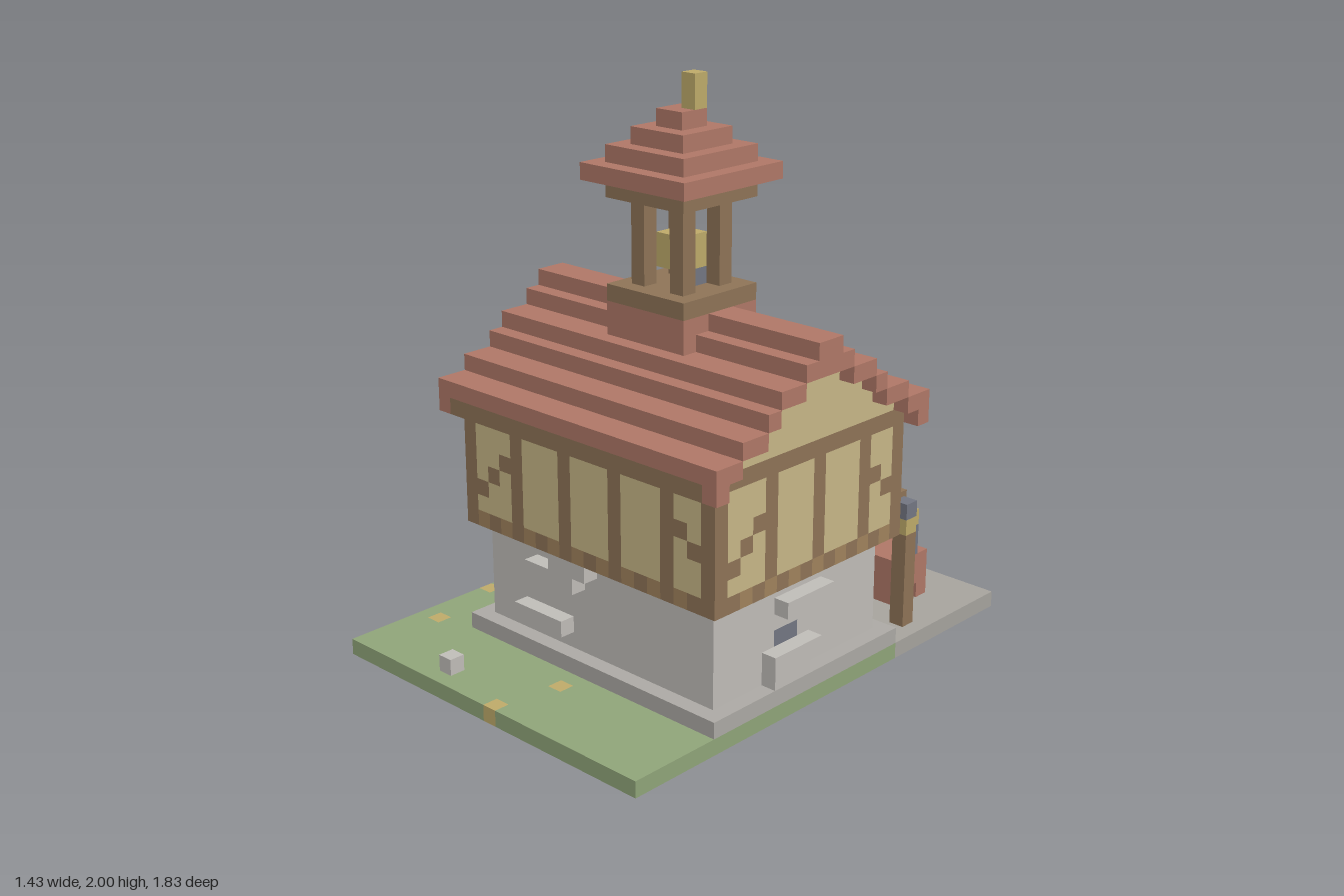
import * as THREE from 'three';

// The model is made of cubes on a grid: x 0..25, y 0..35, z 0..32
const V = 2 / 35;
const C = {
  red: 0xb37a69, tan: 0xcbba8a, brown: 0x917659, lightBrown: 0xa3855f, stone: 0xc4c1bc, stoneDark: 0xb0ada8,
  green: 0x93a87c, paving: 0xaaa7a1, blue: 0x6b96b8, slate: 0x757985, gold: 0xc2ae6c, door: 0xc07c68, wood: 0xab866a,
};

// Outer skin of a set of cubes: one quad wherever a cube meets open space, none on the ground plane
function skin(keys, cells) {
  const pos = [];
  for (const key of keys) {
    const p = key.split(',').map(Number);
    for (let a = 0; a < 3; a++) for (const s of [-1, 1]) {
      const n = [...p];
      n[a] += s;
      if (n[1] < 0 || cells.has(n.join())) continue;
      const b = (a + 1) % 3, c = (a + 2) % 3;
      const quad = [[0, 0], [1, 0], [1, 1], [0, 1]].map(([u, w]) => {
        const q = [...p];
        if (s > 0) q[a]++;
        q[b] += u;
        q[c] += w;
        return [(q[0] - 12.5) * V, q[1] * V, (q[2] - 16) * V];
      });
      for (const i of s > 0 ? [0, 1, 2, 0, 2, 3] : [0, 2, 1, 0, 3, 2]) pos.push(...quad[i]);
    }
  }
  const g = new THREE.BufferGeometry();
  g.setAttribute('position', new THREE.Float32BufferAttribute(pos, 3));
  g.computeVertexNormals();
  return g;
}

export function createModel() {
  const cells = new Map();
  // Later blocks replace earlier ones; color null carves
  const box = (part, color, x0, x1, y0, y1, z0, z1) => {
    for (let x = x0; x < x1; x++) for (let y = y0; y < y1; y++) for (let z = z0; z < z1; z++) {
      const key = [x, y, z].join();
      if (color) cells.set(key, { part, color });
      else cells.delete(key);
    }
  };
  // Block on an upper wall: u runs along the wall, a..b is the depth outward
  const onWall = (part, color, side, u0, u1, y0, y1, a = -1, b = 0) => {
    if (side === 'front') box(part, color, u0, u1, y0, y1, 26 + a, 26 + b);
    if (side === 'back') box(part, color, u0, u1, y0, y1, 10 - b, 10 - a);
    if (side === 'right') box(part, color, 24 + a, 24 + b, y0, y1, u0, u1);
    if (side === 'left') box(part, color, 4 - b, 4 - a, y0, y1, u0, u1);
  };

  // Ground
  box('lawn', 'green', 0, 24, 0, 1, 0, 32);
  box('paving', 'paving', 5, 24, 0, 1, 0, 10);
  for (const [x, z] of [[4, 2], [2, 5], [0, 10], [0, 21], [1, 26], [13, 27], [12, 31]])
    box('flowers', 'gold', x, x + 1, 0, 1, z, z + 1);
  box('looseStone', 'stone', 7, 8, 1, 2, 30, 31);

  // Stone ground floor on a plinth, with raised stones
  box('plinth', 'stoneDark', 4, 24, 1, 2, 10, 26);
  box('stoneFloor', 'stone', 5, 23, 2, 8, 11, 25);
  for (const [a, b, y] of [[9, 13, 6], [11, 14, 7], [8, 12, 3]])
    box('raisedStones', 'stone', a, b, y, y + 1, 25, 26);
  for (const [a, b, y] of [[16, 20, 6], [17, 21, 3], [18, 21, 2]])
    box('raisedStones', 'stone', 23, 24, y, y + 1, a, b);
  box('darkStone', 'slate', 22, 23, 4, 5, 18, 20);
  // Recessed doors at the back
  for (const x of [7, 16]) {
    box('doorway', null, x, x + 5, 1, 7, 10, 12);
    box('doors', 'door', x, x + 5, 1, 7, 12, 13);
  }
  // Framed window on the left wall
  box('sideWindow', 'slate', 5, 6, 3, 7, 13, 18);
  for (const z of [12, 15, 18]) box('windowFrame', 'lightBrown', 4, 5, 2, 8, z, z + 1);
  for (const y of [2, 7]) box('windowFrame', 'lightBrown', 4, 5, y, y + 1, 12, 19);
  for (const z of [13, 17]) box('windowFrame', 'lightBrown', 3, 5, 3, 7, z, z + 1);
  box('windowFrame', 'lightBrown', 3, 5, 3, 4, 14, 17);

  // Timber framed upper floor
  box('timberFrame', 'brown', 4, 24, 8, 16, 10, 26);
  const posts = { front: [4, 8, 12, 16, 20, 23], back: [4, 8, 12, 16, 20, 23],
    right: [10, 13, 17, 21, 25], left: [10, 13, 17, 21, 25] };
  for (const side in posts) {
    const p = posts[side], n = p.length;
    for (let i = 0; i < n - 1; i++) onWall('plaster', 'tan', side, p[i] + 1, p[i + 1], 9, 15);
    for (let u = p[0] + 1; u < p[n - 1]; u += 2) onWall('beamEnds', 'lightBrown', side, u, u + 1, 8, 9);
    // Stepped braces in the outer panels
    for (let i = 0; i < 3; i++) {
      const a = p[1] - 1 - i, b = p[n - 2] + 1 + i, y = 12 - i;
      if (a > p[0]) onWall('braces', 'brown', side, a, a + 1, y, y + 1);
      if (b < p[n - 1]) onWall('braces', 'brown', side, b, b + 1, y, y + 1);
    }
  }

  // Shuttered windows and flower boxes
  const shuttered = (side, a, b, shutters) => {
    onWall('panes', 'slate', side, a, b, 10, 13);
    onWall('sills', 'brown', side, a, b, 9, 10, 0, 1);
    for (const u of shutters) onWall('shutters', 'red', side, u, u + 1, 10, 13, 0, 1);
  };
  const flowerBox = (side, u) => {
    onWall('flowerBoxes', 'brown', side, u, u + 2, 9, 10, 0, 1);
    onWall('flowerBoxes', 'brown', side, u, u + 2, 10, 12, 1, 2);
    onWall('flowerBoxes', 'red', side, u, u + 2, 10, 13, 0, 1);
    onWall('plants', 'slate', side, u, u + 1, 12, 13, 1, 2);
    onWall('plants', 'slate', side, u, u + 1, 13, 14, 0, 1);
  };
  shuttered('back', 18, 22, [17, 22]);
  shuttered('back', 6, 10, [5, 10]);
  flowerBox('back', 12);
  flowerBox('back', 15);
  shuttered('left', 13, 17, [12]);
  shuttered('left', 19, 23, [23]);
  flowerBox('left', 17);
  onWall('plants', 'slate', 'left', 17, 18, 12, 14, 0, 2);
  onWall('plants', null, 'left', 17, 18, 13, 14, 1, 2);
  onWall('plants', 'slate', 'left', 18, 19, 12, 13, 1, 2);

  // Stepped roof: each course spans from its own half width to the next, gables fill between
  const half = [9, 7, 5, 4, 2, 1, 0];
  for (let i = 0; i < 6; i++) {
    const y = 16 + i, h = half[i], inner = i < 4 ? half[i + 1] : 0;
    box('roof', 'red', 3, 25, y, y + 1, 18 - h, 18 - inner);
    box('roof', 'red', 3, 25, y, y + 1, 18 + inner, 18 + h);
    box('gables', 'tan', 4, 24, y, y + 1, 18 - inner, 18 + inner);
  }
  for (const z of [9, 26]) {
    box('roof', 'red', 3, 25, 15, 16, z, z + 1);
    box('eaveBoards', 'brown', 4, 24, 15, 16, z, z + 1);
  }

  // Belfry with an open bell stage and a hollow stepped cap
  box('belfryFoot', 'red', 11, 17, 20, 22, 15, 21);
  box('belfryFrame', 'brown', 11, 17, 22, 23, 15, 21);
  for (const x of [12, 15]) for (const z of [16, 19])
    box('belfryFrame', 'brown', x, x + 1, 23, 28, z, z + 1);
  box('bell', 'gold', 13, 15, 24, 26, 17, 19);
  box('clapper', 'slate', 14, 15, 23, 24, 17, 18);
  box('belfryFrame', 'brown', 11, 17, 28, 29, 15, 21);
  for (let i = 0; i < 4; i++)
    box('belfryRoof', 'red', 10 + i, 18 - i, 29 + i, 30 + i, 14 + i, 22 - i);
  box('belfryHollow', null, 13, 15, 28, 32, 17, 19);
  box('spire', 'gold', 14, 15, 33, 35, 17, 18);

  // Banded crates along the edge of the yard
  for (const [a, b] of [[0, 4], [5, 7], [8, 10]])
    for (const [y0, y1, c] of [[1, 3, 'wood'], [3, 4, 'slate'], [4, 5, 'wood'], [5, 6, 'blue']])
      box('crates', c, 0, 2, y0, y1, a, b);

  // Brick trough with a beam over it
  box('trough', 'red', 15, 21, 1, 4, 3, 6);
  box('trough', null, 15, 21, 1, 2, 4, 5);
  box('waterTub', 'blue', 15, 17, 4, 5, 5, 6);
  for (const z of [2, 6]) box('troughSteps', 'brown', 16, 18, 1, 3, z, z + 1);
  for (const x of [16, 20]) {
    box('beamPosts', 'slate', x, x + 1, 4, 6, 4, 5);
    box('beamPosts', 'gold', x, x + 1, 6, 7, 4, 5);
  }
  box('beam', 'brown', 16, 20, 7, 8, 4, 5);
  box('waterTub', 'blue', 15, 16, 4, 5, 4, 5);

  // Lamp post in the yard
  box('lampPost', 'brown', 22, 23, 1, 7, 7, 8);
  box('lampLight', 'gold', 22, 23, 7, 8, 7, 8);
  box('lampCap', 'slate', 22, 23, 8, 9, 7, 8);

  // One mesh for each part and color
  const parts = new Map();
  for (const [key, { part, color }] of cells) {
    const id = part + ' ' + color;
    if (!parts.has(id)) parts.set(id, { part, color, keys: [] });
    parts.get(id).keys.push(key);
  }
  const root = new THREE.Group();
  root.name = 'belfryHouse';
  for (const { part, color, keys } of parts.values()) {
    const mesh = new THREE.Mesh(skin(keys, cells),
      new THREE.MeshStandardMaterial({ color: C[color], flatShading: true, side: THREE.DoubleSide }));
    mesh.name = part;
    root.add(mesh);
  }
  return root;
}
